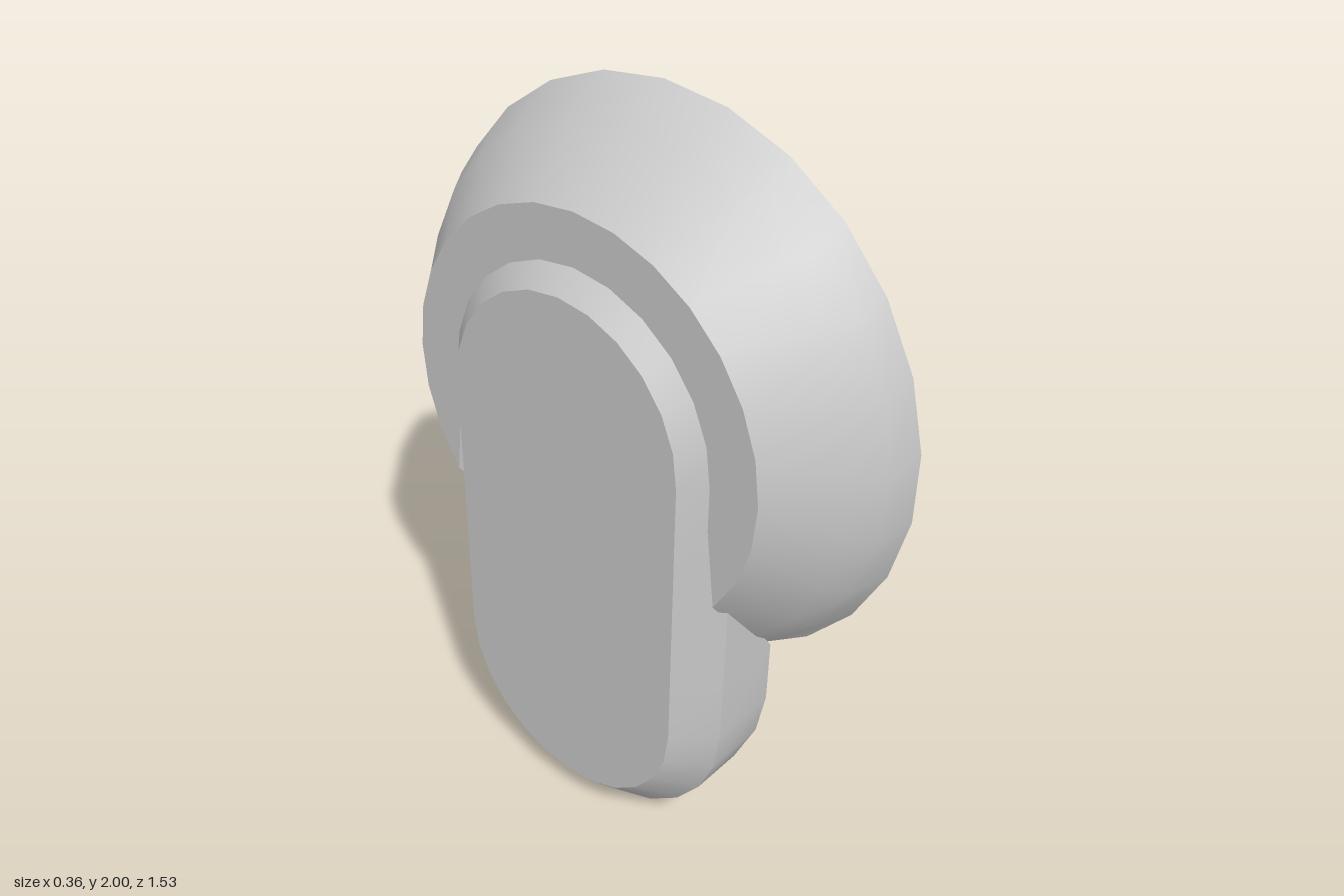
import * as THREE from 'three';
import { toCreasedNormals } from 'three/addons/utils/BufferGeometryUtils.js';

const R = 0.455, TOP = 1.23, BOTTOM = 0.455;
const FLOOR = -0.08, LEDGE = -0.05;

export function createModel() {
  const group = new THREE.Group();
  const grey = new THREE.MeshStandardMaterial({ color: 0xc8c8c8 });
  grey.name = 'light grey';

  const add = (name, geometry) => {
    const mesh = new THREE.Mesh(toCreasedNormals(geometry, 0.5), grey);
    mesh.name = name;
    group.add(mesh);
  };

  // Skin a grid of [x, y, z] rows; extra quads close the ends
  const loft = (rows, closeRows, closeCols, capQuads = []) => {
    const pos = [];
    const quad = (a, b, c, d) => pos.push(...a, ...b, ...c, ...a, ...c, ...d);
    const n = rows.length, m = rows[0].length;
    for (let i = 0; i < (closeRows ? n : n - 1); i++) {
      for (let j = 0; j < (closeCols ? m : m - 1); j++) {
        const p = rows[i], q = rows[(i + 1) % n], k = (j + 1) % m;
        quad(p[j], p[k], q[k], q[j]);
      }
    }
    for (const [a, b, c, d] of capQuads) {
      const s = rows[0], e = rows[n - 1];
      quad(s[d], s[c], s[b], s[a]);
      quad(e[a], e[b], e[c], e[d]);
    }
    const g = new THREE.BufferGeometry();
    g.setAttribute('position', new THREE.Float32BufferAttribute(pos, 3));
    g.computeVertexNormals();
    return g;
  };

  // Extrude a (z, y) outline along x
  const slab = (shape, x0, x1, segments = 6) => {
    const g = new THREE.ExtrudeGeometry(shape, { depth: x1 - x0, bevelEnabled: false, curveSegments: segments });
    g.rotateY(Math.PI / 2);
    g.translate(x0, 0, 0);
    return g;
  };
  const polygon = (pts, Type = THREE.Shape) => new Type(pts.map(([u, v]) => new THREE.Vector2(u, v)));
  const squareHole = (u, v, turn) => polygon([0, 1, 2, 3].map((i) => {
    const a = turn + i * Math.PI / 2;
    return [u + 0.055 * Math.cos(a), v + 0.055 * Math.sin(a)];
  }), THREE.Path);

  // Stations around the capsule-shaped body: centre height and outward direction
  const stations = [];
  const sideLevels = [0.975, 0.78, 0.64];
  for (let i = 0; i <= 12; i++) stations.push([TOP, i * Math.PI / 12]);
  for (const y of sideLevels) stations.push([y, Math.PI]);
  for (let i = 0; i <= 12; i++) stations.push([BOTTOM, Math.PI + i * Math.PI / 12]);
  for (const y of [...sideLevels].reverse()) stations.push([y, 2 * Math.PI]);

  // Height of the side wall at each level
  const levels = [[-1, -0.05], [0, -0.05], [0.01, -0.04], [0.1, 0.02], [0.23, 0.07], [0.39, 0.11],
    [0.64, 0.11], [0.78, 0.01], [0.975, -0.02], [1.23, -0.03], [3, -0.03]];
  const wallTop = (y) => {
    const i = levels.findIndex((l) => l[0] > y);
    const [y0, x0] = levels[i - 1], [y1, x1] = levels[i];
    return x0 + (x1 - x0) * (y - y0) / (y1 - y0);
  };

  // Body shell: back chamfer, wall, rim, inner ledge and sloped step
  add('bodyShell', loft(stations.map(([cy, a]) => {
    const t = wallTop(cy + R * Math.sin(a));
    const rim = cy > 1 ? 0.01 : 0.045;
    return [[-0.178, 0.095], [-0.085, 0], [t, 0], [t, rim], [LEDGE, rim], [LEDGE, 0.1], [FLOOR, 0.125]]
      .map(([x, d]) => [x, cy + (R - d) * Math.sin(a), (R - d) * Math.cos(a)]);
  }), true, false));

  // Back plate
  const back = new THREE.Shape();
  back.absarc(0, TOP, 0.36, 0, Math.PI);
  back.absarc(0, BOTTOM, 0.36, Math.PI, 2 * Math.PI);
  add('backPlate', slab(back, -0.178, FLOOR));

  // Flared dish, open at the bottom; each point is x, radius and optional half gap angle
  const profile = [[-0.125, 0.4], [-0.125, 0.55], [0.04, 0.69], [0.11, 0.735], [0.178, 0.77, 0.74],
    [0.178, 0.73, 0.8], [0.09, 0.68], [0.05, 0.65], [0.01, 0.62], [-0.03, 0.448]];
  const dishRows = [];
  for (let i = 0; i <= 20; i++) {
    dishRows.push(profile.map(([x, r, end]) => {
      const gap = end ?? Math.asin(Math.min(1, 0.44 / r));
      const a = -Math.PI / 2 + gap + (i / 20) * 2 * (Math.PI - gap);
      return [x, TOP + r * Math.sin(a), r * Math.cos(a)];
    }));
  }
  add('dish', loft(dishRows, false, true, [[0, 1, 8, 9], [1, 2, 7, 8], [2, 3, 6, 7], [3, 4, 5, 6]]));

  // Round socket
  const ring = new THREE.Shape();
  ring.absarc(0, 1.225, 0.285, 0, 2 * Math.PI);
  const bore = new THREE.Path();
  bore.absarc(0, 1.225, 0.245, 0, 2 * Math.PI, true);
  ring.holes.push(bore);
  add('socketRing', slab(ring, FLOOR, 0.035, 8));

  // Screw bosses around the socket, level with the ledge
  const topBoss = polygon([[-0.08, 1.5], [0.08, 1.5], [0.13, 1.57], [0.09, 1.66], [-0.09, 1.66], [-0.13, 1.57]]);
  topBoss.holes.push(squareHole(0, 1.6, 0.9));
  add('topBoss', slab(topBoss, FLOOR, LEDGE + 0.002));
  for (const s of [-1, 1]) {
    const boss = polygon([[0.4, 0.92], [0.26, 0.92], [0.2, 1.0], [0.26, 1.17], [0.4, 1.17]].map(([u, v]) => [s * u, v]));
    boss.holes.push(squareHole(s * 0.325, 1.04, s > 0 ? 0.1 : 0.75));
    add('sideBoss', slab(boss, FLOOR, LEDGE + 0.002));
  }

  // Lower mounting block with a recessed panel and two screw holes
  const frame = polygon([[-0.34, 0.225], [0.34, 0.225], [0.37, 0.27], [0.42, 0.42], [0.42, 0.635],
    [-0.42, 0.635], [-0.42, 0.42], [-0.37, 0.27]]);
  frame.holes.push(polygon([[-0.35, 0.26], [-0.35, 0.6], [0.35, 0.6], [0.35, 0.26]], THREE.Path));
  add('blockFrame', slab(frame, FLOOR, 0.045));
  const panel = polygon([[-0.35, 0.26], [0.35, 0.26], [0.35, 0.6], [-0.35, 0.6]]);
  panel.holes.push(squareHole(-0.19, 0.435, 0.9), squareHole(0.19, 0.435, 0.6));
  add('blockPanel', slab(panel, FLOOR, -0.035));

  return group;
}
